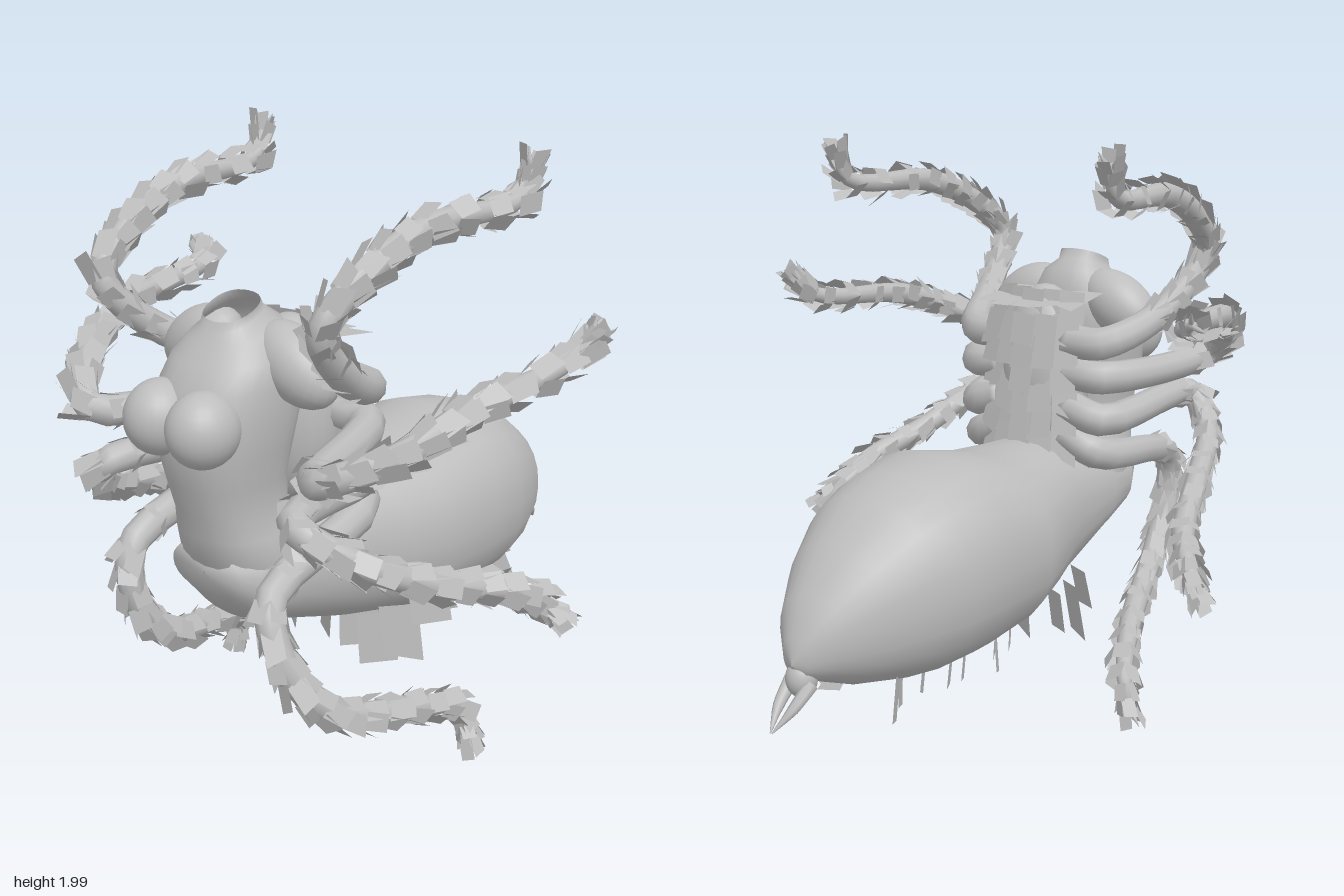
import * as THREE from 'three';

const V = (x, y, z) => new THREE.Vector3(x, y, z);
const CX = -0.02; // centre line of the body
const grey = new THREE.MeshStandardMaterial({ color: 0xbdbdbd, side: THREE.DoubleSide });
grey.name = 'grey';

let seed = 7;
const rand = () => (seed = (seed * 16807) % 2147483647) / 2147483647;
const vary = (a) => (rand() * 2 - 1) * a;

function add(group, geometry, name) {
  const mesh = new THREE.Mesh(geometry, grey);
  mesh.name = name;
  group.add(mesh);
  return mesh;
}

// Skin closed rings of points, with outward facing triangles
function loft(rings) {
  const n = rings[0].length, pts = rings.flat(), idx = [];
  for (let i = 0; i < rings.length - 1; i++)
    for (let j = 0; j < n; j++) {
      const a = i * n + j, b = i * n + (j + 1) % n;
      idx.push(a, b, a + n, b, b + n, a + n);
    }
  const mid = pts.reduce((s, p) => s.add(p), V(0, 0, 0)).divideScalar(pts.length);
  let volume = 0;
  for (let k = 0; k < idx.length; k += 3) {
    const [a, b, c] = [0, 1, 2].map((m) => pts[idx[k + m]].clone().sub(mid));
    volume += a.dot(b.cross(c));
  }
  if (volume < 0) idx.reverse();
  const g = new THREE.BufferGeometry().setFromPoints(pts);
  g.setIndex(idx);
  g.computeVertexNormals();
  return g;
}

// Rounded ring: f receives squared-off cosine and sine
function ring(n, power, f) {
  const sq = (v) => Math.sign(v) * Math.abs(v) ** power;
  return Array.from({ length: n }, (_, i) => {
    const a = (i / n) * Math.PI * 2;
    return f(sq(Math.cos(a)), sq(Math.sin(a)));
  });
}

// Tapered tube along a smooth path, closed at both ends
function taperedTube(path, radii, steps = 36, sides = 10) {
  const curve = new THREE.CatmullRomCurve3(path, false, 'centripetal');
  const rings = [];
  const up = V(0.31, 0.2, 0.93);
  for (let i = 0; i <= steps; i++) {
    const t = i / steps, p = curve.getPoint(t), d = curve.getTangent(t);
    const u = up.clone().cross(d).normalize(), w = d.clone().cross(u);
    up.copy(w).cross(u).lengthSq();
    const s = t * (radii.length - 1), k = Math.min(Math.floor(s), radii.length - 2);
    const r = THREE.MathUtils.lerp(radii[k], radii[k + 1], s - k);
    const at = (q) => ring(sides, 1, (c, e) => p.clone().addScaledVector(u, c * q).addScaledVector(w, e * q));
    if (i === 0) rings.push(at(0));
    rings.push(at(r));
    if (i === steps) rings.push(at(0));
    up.copy(d).cross(u);
  }
  return { geometry: loft(rings), curve };
}

// One flat flap: two triangles with a ragged far edge
function flap(out, p, along, across, length, width) {
  const a = p.clone().addScaledVector(across, -width / 2), b = p.clone().addScaledVector(across, width / 2);
  const c = b.clone().addScaledVector(along, length * (0.8 + rand() * 0.3));
  const d = a.clone().addScaledVector(along, length * (0.8 + rand() * 0.3));
  out.push(a, b, c, a, c, d);
}

function flapGeometry(points) {
  const g = new THREE.BufferGeometry().setFromPoints(points);
  g.computeVertexNormals();
  return g;
}

function makeLeg(points, name) {
  const leg = new THREE.Group();
  leg.name = name;
  const n = points.length;
  const radii = points.map((_, i) => (i < 2 ? 0.058 : i === 2 ? 0.048 : i === n - 1 ? 0.012 : i === n - 2 ? 0.026 : 0.04));
  const { geometry, curve } = taperedTube(points.map((p) => V(...p)), radii);
  add(leg, geometry, 'limb');

  // Overlapping flaps from the knee to the foot
  const flaps = [];
  const start = 1.7 / (n - 1), rows = 17;
  for (let i = 0; i < rows; i++) {
    const t = start + (0.97 - start) * (i / (rows - 1));
    const p = curve.getPoint(t), d = curve.getTangent(t);
    const u = V(0.3, 0.5, 0.8).cross(d).normalize(), w = d.clone().cross(u);
    for (let k = 0; k < 5; k++) {
      const a = (k / 5) * Math.PI * 2 + i * 0.6 + vary(0.3);
      const away = u.clone().multiplyScalar(Math.cos(a)).addScaledVector(w, Math.sin(a));
      const side = d.clone().cross(away).addScaledVector(d, vary(0.25)).normalize();
      const dir = d.clone().addScaledVector(away, 0.15 + rand() * 0.25).normalize();
      const foot = t > 0.85 ? 0.75 : 1;
      flap(flaps, p.clone().addScaledVector(away, 0.036 * foot), dir, side, (0.08 + vary(0.015)) * foot, 0.06 * foot);
    }
  }
  add(leg, flapGeometry(flaps), 'legFlaps');

  // Pair of small claws
  const tip = curve.getPoint(0.97), d = curve.getTangent(1), s = V(0, 0.3, 1).cross(d).normalize();
  for (const k of [-1, 1]) {
    const path = [tip, tip.clone().addScaledVector(d, 0.03).addScaledVector(s, 0.02 * k), tip.clone().addScaledVector(d, 0.06).addScaledVector(s, 0.035 * k)];
    add(leg, taperedTube(path, [0.01, 0.008, 0.001], 6, 5).geometry, 'claw');
  }
  return leg;
}

export function createModel() {
  const model = new THREE.Group();
  model.name = 'spiderBody';

  // Abdomen: z, half width, bottom, top
  const abdomen = [[0.81, 0.001, 0.75, 0.76], [0.8, 0.15, 0.68, 0.83], [0.72, 0.19, 0.58, 0.86], [0.58, 0.21, 0.52, 0.9],
    [0.3, 0.235, 0.41, 0.94], [0.15, 0.285, 0.375, 0.945], [0, 0.325, 0.34, 0.955], [-0.25, 0.347, 0.32, 1.01],
    [-0.42, 0.325, 0.32, 0.975], [-0.55, 0.285, 0.335, 0.93], [-0.7, 0.21, 0.37, 0.82], [-0.82, 0.125, 0.42, 0.69],
    [-0.88, 0.055, 0.45, 0.58], [-0.9, 0.001, 0.49, 0.5]];
  add(model, loft(abdomen.map(([z, w, b, t]) =>
    ring(24, 0.9, (c, s) => V(CX + w * c, (b + t) / 2 + ((t - b) / 2) * s, z)))), 'abdomen');

  // Torso with open, forward-tilted neck: y, half width, front, back, tilt
  const torso = [[0.7, 0.19, 0.77, 0.35, 0], [0.8, 0.198, 0.82, 0.4, 0], [0.88, 0.175, 0.84, 0.48, 0], [0.95, 0.158, 0.85, 0.52, 0],
    [1.05, 0.163, 0.88, 0.52, 0], [1.15, 0.183, 0.9, 0.5, 0], [1.25, 0.193, 0.9, 0.47, 0], [1.35, 0.195, 0.87, 0.47, 0],
    [1.43, 0.18, 0.82, 0.48, 0.1], [1.49, 0.13, 0.78, 0.51, 0.2], [1.525, 0.085, 0.75, 0.56, 0.3], [1.555, 0.085, 0.73, 0.58, 0.4]];
  add(model, loft(torso.map(([y, w, f, b, tilt]) =>
    ring(28, 0.85, (c, s) => V(CX + w * c, y - (tilt * s * (f - b)) / 2, (f + b) / 2 + ((f - b) / 2) * s)))), 'torso');

  // Rounded bust, shoulders and the back shell
  const ball = (name, x, y, z, rx, ry, rz, tilt = 0) => {
    const m = add(model, new THREE.SphereGeometry(1, 24, 16), name);
    m.position.set(x, y, z);
    m.scale.set(rx, ry, rz);
    m.rotation.z = tilt;
  };
  for (const s of [-1, 1]) {
    ball('bust', CX + s * 0.088, 1.255, 0.87, 0.105, 0.115, 0.115);
    ball('shoulder', CX + s * 0.19, 1.4, 0.59, 0.16, 0.105, 0.1, -s * 0.55);
  }
  ball('backShell', CX, 1.17, 0.41, 0.17, 0.31, 0.14);

  // Overlapping plates down the back
  const plates = [];
  for (let row = 0; row < 7; row++)
    for (let k = -2; k <= 2; k++) {
      const p = V(CX + k * 0.07, 1.47 - row * 0.08, 0.27 + Math.abs(k) * 0.025 + (row === 0 ? 0.06 : 0) + vary(0.015));
      flap(plates, p, V(k * 0.08, -1, -0.25).normalize(), V(1, vary(0.12), k * 0.15).normalize(), 0.12, 0.09);
    }
  // Shelf of plates between the shoulders and the back
  for (let k = -2; k <= 2; k++)
    flap(plates, V(CX + k * 0.07, 1.45, 0.5), V(k * 0.05, -0.12, -1).normalize(), V(1, 0, 0), 0.24, 0.08);
  add(model, flapGeometry(plates), 'backPlates');

  // Hanging flaps below the abdomen
  const belly = [];
  for (let i = 0; i < 8; i++)
    for (const s of [-1, 1]) {
      const p = V(CX + s * (0.12 + vary(0.05)), 0.39, 0.08 - i * 0.095);
      flap(belly, p, V(s * 0.2, -1, -0.45 + vary(0.3)).normalize(), V(0.5 * s, 0.2, -0.85).normalize(), 0.14, 0.075);
    }
  for (const s of [-1, 1])
    for (const [x, y, z, l] of [[0.33, 0.57, 0.14, 0.16], [0.26, 0.48, 0.2, 0.18], [0.18, 0.43, 0.22, 0.17], [0.07, 0.4, 0.18, 0.15]])
      flap(belly, V(CX + s * x, y, z), V(s * x * 0.7, -1, 0.05).normalize(), V(1, 0.15 * s, -0.7 * s).normalize(), l, 0.13);
  add(model, flapGeometry(belly), 'bellyFlaps');

  // Slim tail spikes
  ball('tailBase', CX, 0.44, -0.86, 0.05, 0.06, 0.05);
  for (const s of [-1, 1])
    add(model, taperedTube([V(CX + s * 0.04, 0.43, -0.86), V(CX + s * 0.03, 0.37, -0.93), V(CX + s * 0.003, 0.31, -0.995)],
      [0.025, 0.018, 0.002], 8, 7).geometry, 'tailSpike');

  // Legs, from the highest pair to the lowest
  const pairs = {
    topLeg: [[0.12, 1.3, 0.36], [0.26, 1.3, 0.38], [0.37, 1.4, 0.6], [0.43, 1.59, 0.77], [0.46, 1.72, 0.63], [0.49, 1.815, 0.38], [0.53, 1.84, 0], [0.54, 1.94, -0.05]],
    upperLeg: [[0.12, 1.19, 0.36], [0.26, 1.18, 0.38], [0.48, 1.2, 0.86], [0.66, 1.28, 0.74], [0.73, 1.36, 0.5], [0.77, 1.41, 0.06], [0.81, 1.48, 0]],
    lowerLeg: [[0.12, 1.07, 0.36], [0.26, 1.03, 0.38], [0.41, 1.06, 0.87], [0.55, 0.97, 0.8], [0.65, 0.83, 0.55], [0.72, 0.74, 0.3], [0.75, 0.65, 0.15], [0.81, 0.59, 0.11]],
    bottomLeg: [[0.12, 0.97, 0.36], [0.24, 0.91, 0.38], [0.31, 0.79, 0.87], [0.4, 0.58, 0.88], [0.44, 0.4, 0.72], [0.47, 0.29, 0.42], [0.49, 0.19, 0.2], [0.53, 0.06, 0.18]],
  };
  // Right-hand differences in pose, keyed by point
  const pose = {
    upperLeg: { 2: [0.41, 1.21, 0.87], 3: [0.52, 1.33, 0.77], 4: [0.64, 1.42, 0.5], 5: [0.74, 1.45, 0.06] },
    lowerLeg: { 2: [0.34, 1.05, 0.87], 3: [0.45, 0.94, 0.8], 4: [0.55, 0.83, 0.55], 5: [0.64, 0.72, 0.3] },
    bottomLeg: { 2: [0.25, 0.8, 0.87], 3: [0.24, 0.6, 0.88], 4: [0.28, 0.42, 0.72], 5: [0.38, 0.3, 0.42] },
  };
  for (const [name, points] of Object.entries(pairs)) {
    model.add(makeLeg(points, name + 'Left'));
    const right = points.map((p, i) => pose[name]?.[i] ?? p).map(([x, y, z]) => [-x - 0.02, y, z]);
    model.add(makeLeg(right, name + 'Right'));
  }
  return model;
}
